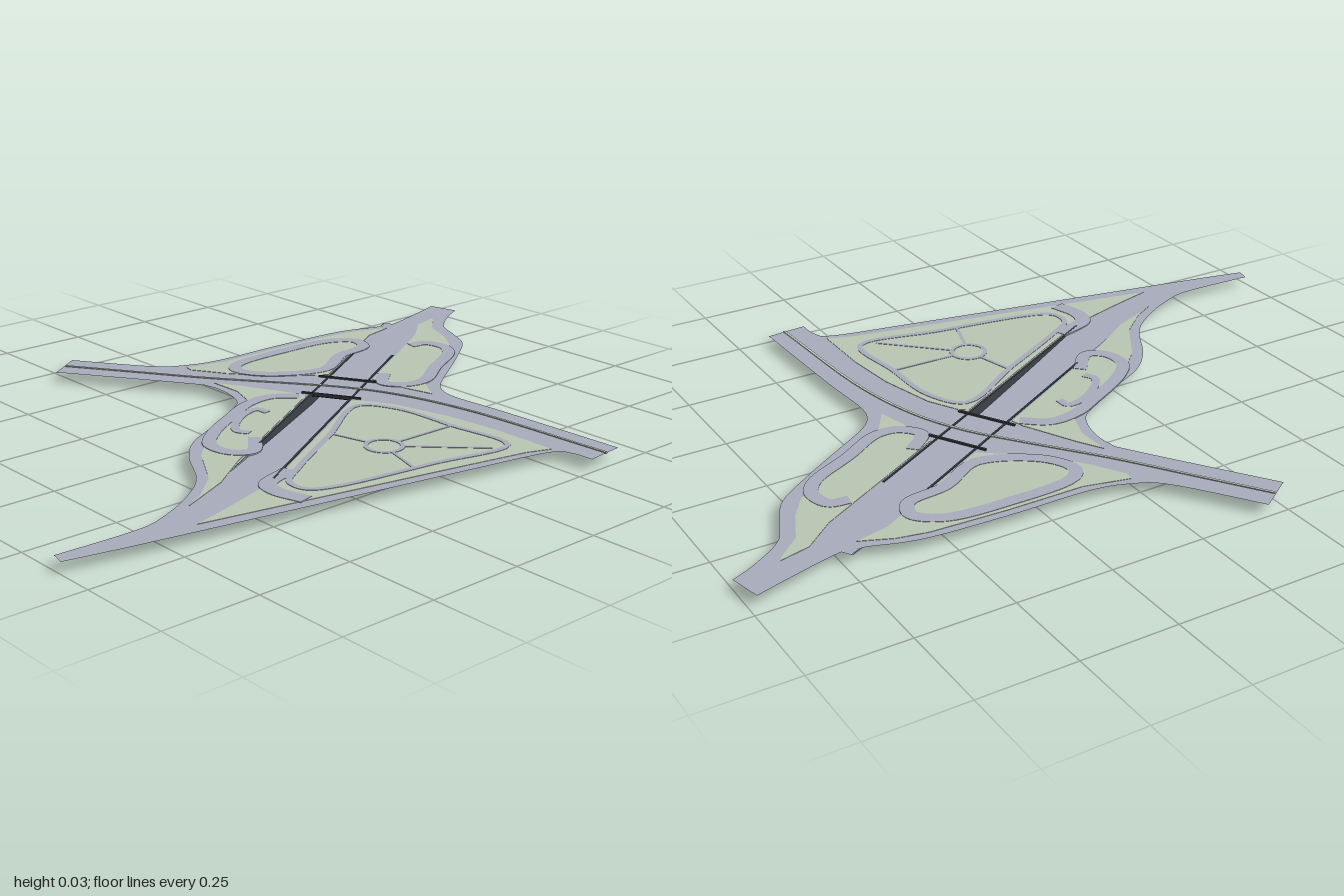
import * as THREE from 'three';

const DECK = 0.028; // level of the flat ground sheet
const mat = (name, color, side = THREE.FrontSide) => {
  const m = new THREE.MeshStandardMaterial({ color, side });
  m.name = name;
  return m;
};
const V = (pts) => pts.map(([x, y]) => new THREE.Vector2(x, y));

// sunken road frame: s runs along the road, t across it
const C = [-0.06, -0.21], D = [0.5, 0.866], P = [0.866, -0.5];
const at = (s, t) => [C[0] + s * D[0] + t * P[0], C[1] + s * D[1] + t * P[1]];
const HALF = 0.057, EDGE = 0.064;
const PROFILE = [[-0.64, DECK], [-0.36, 0.012], [-0.1, 0], [0.08, 0], [0.4, 0.013], [0.69, DECK]];
function floorY(s) {
  for (let i = 1; i < PROFILE.length; i++) {
    const [a, ya] = PROFILE[i - 1], [b, yb] = PROFILE[i];
    if (s <= b) return ya + (yb - ya) * (s - a) / (b - a);
  }
  return DECK;
}

export function createModel() {
  const root = new THREE.Group();
  root.name = 'roadInterchange';
  const asphalt = mat('asphalt', 0xa9adbe, THREE.DoubleSide);
  const grass = mat('grass', 0xbac8b5);
  const dark = mat('darkConcrete', 0x3e4148);
  const paint = mat('lanePaint', 0xcdd3c6);

  const add = (parent, geo, material, name) => {
    const m = new THREE.Mesh(geo, material);
    m.name = name;
    parent.add(m);
    return m;
  };
  // thin plate drawn in plan (x, z), straddling the ground sheet
  const plate = (shape, h, material, name) => {
    const g = new THREE.ExtrudeGeometry(shape, { depth: h, bevelEnabled: false });
    g.rotateX(Math.PI / 2).translate(0, DECK + h / 2, 0);
    return add(root, g, material, name);
  };
  // constant-width strip along a smooth or straight path
  const ribbon = (pts, width, material, name, { closed = false, smooth = true, h = 0.004 } = {}) => {
    const p3 = pts.map(([x, z]) => new THREE.Vector3(x, 0, z));
    const curve = new THREE.CatmullRomCurve3(p3, closed, 'centripetal');
    const n = smooth ? pts.length * 6 : 1;
    const left = [], right = [];
    for (let i = 0; i <= n; i++) {
      const u = i / n, p = curve.getPoint(u), t = curve.getTangent(u);
      const ox = -t.z * width / 2, oz = t.x * width / 2;
      left.push(new THREE.Vector2(p.x + ox, p.z + oz));
      right.push(new THREE.Vector2(p.x - ox, p.z - oz));
    }
    if (closed) {
      left.pop(); right.pop();
      const big = Math.abs(THREE.ShapeUtils.area(left)) > Math.abs(THREE.ShapeUtils.area(right));
      const shape = new THREE.Shape(big ? left : right);
      shape.holes.push(new THREE.Path(big ? right : left));
      return plate(shape, h, material, name);
    }
    return plate(new THREE.Shape([...left, ...right.reverse()]), h, material, name);
  };

  // ground sheet: four curved sides joined by straight road ends
  const sides = [
    [[-0.385, -1], [-0.35, -0.93], [-0.29, -0.85], [-0.21, -0.81], [-0.13, -0.765], [-0.05, -0.66], [0.03, -0.54],
      [0.09, -0.45], [0.135, -0.41], [0.2, -0.395], [0.37, -0.405], [0.73, -0.417]],
    [[0.74, -0.305], [0.68, -0.3], [0.64, -0.26], [0.595, -0.035], [0.515, 0.4], [0.436, 0.825], [0.4, 0.998]],
    [[0.362, 0.99], [0.367, 0.78], [0.345, 0.69], [0.29, 0.585], [0.215, 0.495], [0.09, 0.42], [0.013, 0.347],
      [-0.04, 0.25], [-0.115, 0.12], [-0.155, 0.07], [-0.225, 0.045], [-0.3, 0.045], [-0.365, 0.077], [-0.68, 0.29]],
    [[-0.745, 0.193], [-0.55, 0.055], [-0.495, -0.025], [-0.47, -0.13], [-0.468, -0.34], [-0.455, -0.565],
      [-0.415, -0.7], [-0.41, -0.765], [-0.47, -0.98]],
  ];
  const outline = new THREE.Shape();
  sides.forEach((side, i) => {
    if (i) outline.lineTo(...side[0]); else outline.moveTo(...side[0]);
    outline.splineThru(V(side.slice(1)));
  });
  outline.closePath();
  for (const [a, b] of [[-0.64, -0.076], [0.07, 0.69]])
    outline.holes.push(new THREE.Path(V([at(a, -HALF), at(b, -HALF), at(b, HALF), at(a, HALF)])));
  const sheet = new THREE.ShapeGeometry(outline, 6);
  sheet.rotateX(Math.PI / 2).translate(0, DECK, 0);
  // turn the faces up
  const idx = sheet.index.array;
  for (let i = 0; i < idx.length; i += 3) [idx[i], idx[i + 1]] = [idx[i + 1], idx[i]];
  sheet.computeVertexNormals();
  add(root, sheet, asphalt, 'groundSheet');

  // grass islands
  const lawns = {
    northWestLawn: [[-0.385, -0.7], [-0.42, -0.62], [-0.437, -0.54], [-0.446, -0.34], [-0.446, -0.13], [-0.475, -0.01],
      [-0.45, -0.005], [-0.36, -0.06], [-0.25, -0.15], at(-0.085, -0.1), at(-0.1, -EDGE), at(-0.5, -EDGE)],
    northLawn: [[-0.37, -0.88], [-0.355, -0.87], [-0.3, -0.81], [-0.21, -0.77], [-0.145, -0.725], [-0.07, -0.62],
      [0.01, -0.49], [0.07, -0.41], [0.14, -0.365], [0.06, -0.345], at(-0.09, 0.09), at(-0.1, EDGE), at(-0.55, EDGE), [-0.35, -0.8]],
    eastLawn: [at(0.08, 0.09), [0.14, -0.23], [0.3, -0.27], [0.45, -0.285], [0.63, -0.285], [0.605, -0.22], [0.57, -0.05],
      [0.43, 0.66], [0.4, 0.55], at(0.69, EDGE), at(0.09, EDGE)],
    southLawn: [[-0.315, 0.018], [-0.25, -0.02], at(0.08, -0.1), at(0.09, -EDGE), at(0.6, -EDGE), [0.27, 0.465], [0.335, 0.61],
      [0.3, 0.55], [0.23, 0.47], [0.1, 0.39], [0.035, 0.325], [-0.015, 0.24], [-0.09, 0.1], [-0.135, 0.045], [-0.22, 0.016]],
  };
  for (const [name, pts] of Object.entries(lawns)) plate(new THREE.Shape(V(pts)), 0.002, grass, name);

  // looping slip roads
  ribbon([[-0.4, -0.13], [-0.415, -0.32], [-0.4, -0.48], [-0.35, -0.54], [-0.295, -0.52], at(-0.28, -0.085),
    at(-0.14, -0.09), [-0.28, -0.14], [-0.36, -0.1]], 0.036, asphalt, 'northWestLoop', { closed: true });
  ribbon([at(-0.44, 0.08), [-0.2, -0.68], [-0.14, -0.695], [-0.09, -0.665], [-0.02, -0.54], [0.045, -0.43],
    [0.04, -0.37], [-0.01, -0.33], at(-0.16, 0.08)], 0.036, asphalt, 'northLoop');
  ribbon([at(0.1, -0.08), [-0.125, -0.02], [-0.12, 0.06], [-0.075, 0.15], [0, 0.275], [0.06, 0.33], [0.13, 0.325],
    [0.16, 0.28], at(0.44, -0.08)], 0.036, asphalt, 'southLoop');
  ribbon([[-0.035, 0.065], [-0.07, 0.07], [-0.065, 0.115], [-0.015, 0.19], [0.025, 0.215], [0.055, 0.2]], 0.022, asphalt, 'parkingBay');
  ribbon([at(0.62, 0.075), [0.35, 0.39], [0.4, 0.405], [0.48, 0.385]], 0.045, asphalt, 'southTurn');

  // park footpaths on the east lawn
  ribbon([[0.08, -0.15], [0.17, -0.21], [0.35, -0.222], [0.54, -0.225], [0.51, 0], [0.46, 0.3], [0.43, 0.345],
    [0.375, 0.345], [0.32, 0.27], [0.2, 0.06]], 0.016, asphalt, 'parkPath', { closed: true });
  const hub = [0.345, 0.01];
  ribbon(Array.from({ length: 10 }, (_, i) => [hub[0] + 0.046 * Math.cos(i * Math.PI / 5), hub[1] + 0.046 * Math.sin(i * Math.PI / 5)]),
    0.012, asphalt, 'parkCircle', { closed: true });
  for (const end of [[0.53, -0.18], [0.5, 0.06], [0.19, 0.05], [0.35, -0.22]]) {
    const k = 0.046 / Math.hypot(end[0] - hub[0], end[1] - hub[1]);
    const start = [hub[0] + k * (end[0] - hub[0]), hub[1] + k * (end[1] - hub[1])];
    ribbon([start, end], 0.009, asphalt, 'parkSpoke', { smooth: false });
  }

  // overpass markings
  const line = [[-0.71, 0.24], [-0.54, 0.125], [-0.37, 0.01], [-0.18, -0.135], [-0.055, -0.225], [0.08, -0.29], [0.29, -0.34], [0.735, -0.367]];
  ribbon(line, 0.007, paint, 'centreLine', { h: 0.005 });

  // sunken road, built in its own frame: X along, Z across
  const under = new THREE.Group();
  under.name = 'underpass';
  under.applyMatrix4(new THREE.Matrix4().makeBasis(
    new THREE.Vector3(D[0], 0, D[1]), new THREE.Vector3(0, 1, 0), new THREE.Vector3(-P[0], 0, -P[1])));
  under.position.set(C[0], 0, C[1]);
  root.add(under);

  const floor = new THREE.PlaneGeometry(1, 2 * HALF, PROFILE.length - 1, 1).rotateX(-Math.PI / 2);
  const pos = floor.attributes.position;
  for (let i = 0; i < pos.count; i++) {
    const [s, y] = PROFILE[i % PROFILE.length];
    pos.setX(i, s).setY(i, y);
  }
  floor.computeVertexNormals();
  add(under, floor, asphalt, 'sunkenRoad');

  // side wall between the road profile and a level top
  const wall = (a, b, top, z, thick, material, name) => {
    const low = PROFILE.filter(([s]) => s > a && s < b);
    const shape = new THREE.Shape(V([[a, floorY(a)], ...low, [b, floorY(b)], [b, top], [a, top]]));
    const g = new THREE.ExtrudeGeometry(shape, { depth: thick, bevelEnabled: false });
    add(under, g.translate(0, 0, z - thick / 2), material, name);
  };
  for (const [side, a, b] of [[1, -0.31, 0.472], [-1, -0.33, 0.688]]) {
    wall(-0.639, 0.689, DECK, side * (HALF + 0.003), 0.002, asphalt, 'outerSkirt');
    wall(a, b, 0.0305, side * (HALF - 0.001), 0.005, dark, 'retainingWall');
  }

  // bridge soffit and parapets
  add(under, new THREE.BoxGeometry(0.146, 0.005, 2 * HALF), dark, 'bridgeSoffit').position.set(-0.003, DECK - 0.004, 0);
  for (const s of [-0.077, 0.071])
    add(under, new THREE.BoxGeometry(0.006, 0.009, 0.165), dark, 'bridgeParapet').position.set(s, DECK + 0.0005, 0);

  return root;
}
